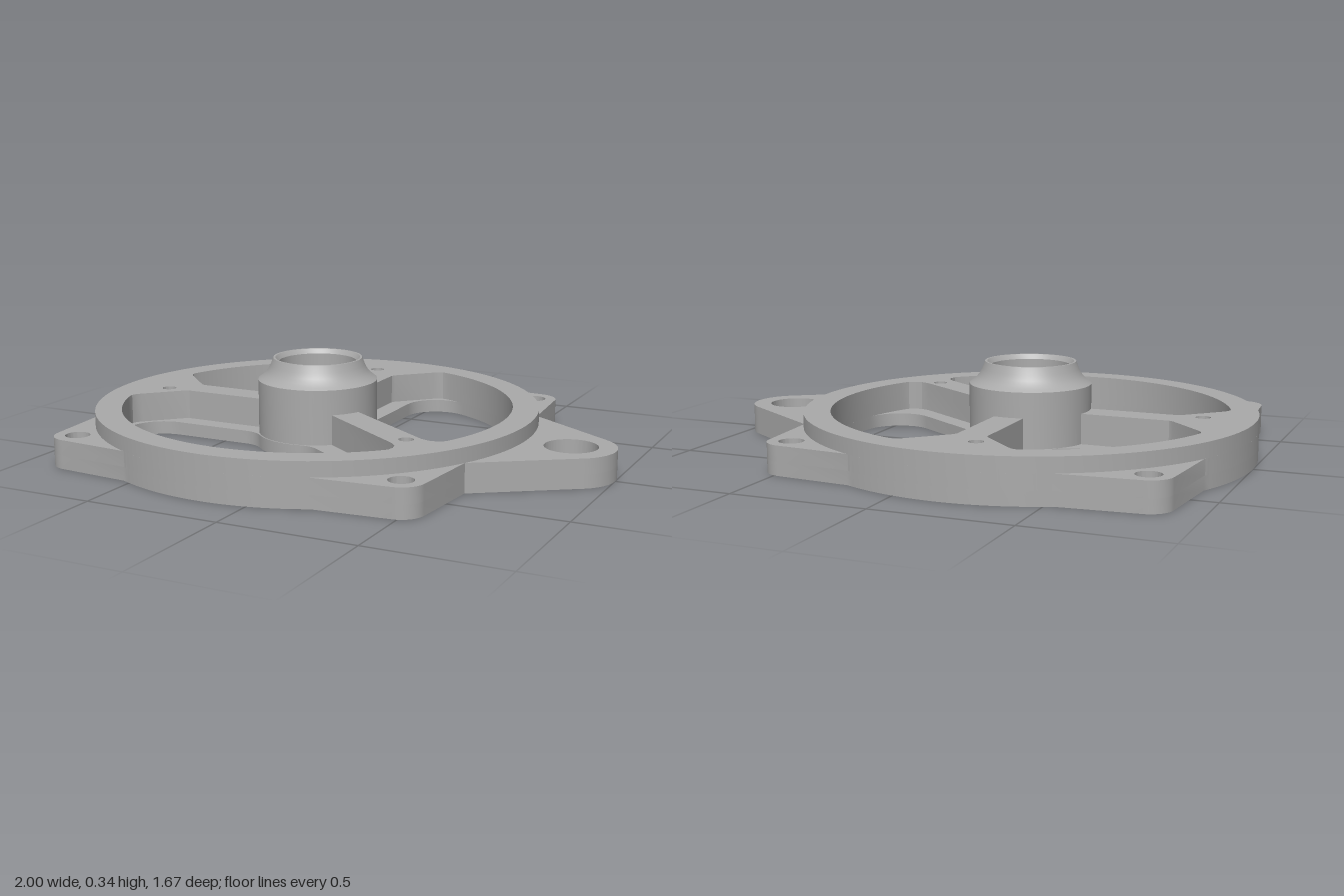
import * as THREE from 'three';
import { toCreasedNormals } from 'three/addons/utils/BufferGeometryUtils.js';

const { sin, cos, sqrt, atan2, PI } = Math;
const RAD = PI / 180;
const RING = 0.835, INNER = 0.737, HUB = 0.225, BORE = 0.147;
const PLATE_TOP = 0.05, FLANGE_TOP = 0.107, RING_TOP = 0.162;
const SPOKES = [35, 180, 270].map((a) => a * RAD);
const PINS = [34.2, 175.5, 265.1].map((a) => a * RAD);

// Points along an arc, end points included
function arc(x, y, r, a0, a1, n = 12) {
  return Array.from({ length: n + 1 }, (_, i) => {
    const a = a0 + ((a1 - a0) * i) / n;
    return new THREE.Vector2(x + r * cos(a), y + r * sin(a));
  });
}

function circle(x, y, r) {
  const path = new THREE.Path();
  path.absarc(x, y, r, 0, PI * 2, false);
  return path;
}

// Opening between two spokes, from one edge profile (distance along spoke, offset from its axis)
function windowBetween(a0, a1, edge0, edge1, innerR) {
  const place = (edge, a, side) => edge.map((p) =>
    new THREE.Vector2(p.x, p.y * side).rotateAround(new THREE.Vector2(), a));
  const first = place(edge0, a0, 1), last = place(edge1, a1, -1).reverse();
  const ang = (p) => atan2(p.y, p.x);
  const o0 = a0 + ang(edge0.at(-1)), o1 = a1 - ang(edge1.at(-1));
  const i0 = a0 + ang(edge0[0]), i1 = a1 - ang(edge1[0]);
  const pts = [...first, ...arc(0, 0, INNER, o0 + 0.02, o1 - 0.02, 48), ...last];
  if (i1 - i0 > 0.1) pts.push(...arc(0, 0, innerR, i1, i0, 16).slice(1, -1));
  return new THREE.Path(pts);
}

// Wide lower spoke edge, filleted into the hub and the ring
function lowerEdge() {
  const d = 0.13, h = 0.23, g = 0.11, f = 0.13;
  const ix = sqrt((h + g) ** 2 - (d + g) ** 2), ox = sqrt((INNER - f) ** 2 - (d + f) ** 2);
  return [
    ...arc(ix, d + g, g, atan2(d + g, ix) + PI, PI * 1.5),
    ...arc(ox, d + f, f, -PI / 2, atan2(d + f, ox)),
  ];
}

// Narrow rib edge, chamfered out to the ring
function ribEdge(isDiagonal) {
  const v = (x, y) => new THREE.Vector2(x, y);
  const flare = isDiagonal
    ? [v(0.66, 0.058), v(0.695, 0.068), v(0.715, 0.085), v(0.727, 0.11)]
    : [v(0.545, 0.056), v(0.56, 0.063), v(0.68, 0.183), v(0.694, 0.2), v(0.701, 0.22)];
  return [v(sqrt(0.22 ** 2 - 0.055 ** 2), 0.055), ...flare];
}

function windows(edgeFor, innerR) {
  return SPOKES.map((a, i) => {
    const j = (i + 1) % 3;
    return windowBetween(a, SPOKES[j] + (j === 0 ? PI * 2 : 0), edgeFor(i === 0), edgeFor(j === 0), innerR);
  });
}

// Round body with four bolt corners and one large lug on +x
function baseOutline() {
  const pts = [];
  for (let k = 0; k < 4; k++) {
    const q = k * PI / 2, s = 26 * RAD;
    if (k === 0) {
      pts.push(new THREE.Vector2(RING * cos(s), -RING * sin(s)));
      pts.push(...arc(1.003, 0, 0.162, -58 * RAD, 58 * RAD, 24));
      pts.push(new THREE.Vector2(RING * cos(s), RING * sin(s)));
    } else {
      pts.push(...arc(0, 0, RING, q - s, q + s, 24));
    }
    const m = q + PI / 4, c = 0.642 * sqrt(2);
    pts.push(...arc(c * cos(m), c * sin(m), 0.085, m - 40 * RAD, m + 40 * RAD));
  }
  return new THREE.Shape(pts);
}

// Mounting holes of the flange
function boltHoles() {
  const holes = [circle(1.003, 0, 0.096)];
  for (const x of [-0.642, 0.642]) for (const y of [-0.642, 0.642]) holes.push(circle(x, y, 0.045));
  return holes;
}

const pinHoles = () => PINS.map((a) => circle(0.643 * cos(a), 0.643 * sin(a), 0.027));

// Extrude a plan shape (y of the shape is z of the model) between two heights
function slab(name, shape, holes, bottom, top, material) {
  shape.holes.push(...holes);
  const geo = new THREE.ExtrudeGeometry(shape, { depth: top - bottom, bevelEnabled: false, curveSegments: 48 });
  geo.rotateX(PI / 2).translate(0, top, 0);
  const mesh = new THREE.Mesh(toCreasedNormals(geo, 0.4), material);
  mesh.name = name;
  return mesh;
}

export function createModel() {
  const metal = new THREE.MeshStandardMaterial({ color: 0xaaaaaa });
  metal.name = 'grey metal';
  const group = new THREE.Group();
  group.name = 'bearing cover';

  // Floor with wide spokes
  group.add(slab('basePlate', baseOutline(),
    [...windows(lowerEdge, 0.23), ...boltHoles(), ...pinHoles(), circle(0, 0, 0.22)], 0, PLATE_TOP, metal));

  // Thick mounting flange around the ring
  group.add(slab('mountingFlange', baseOutline(), [...boltHoles(), circle(0, 0, 0.8)], PLATE_TOP, FLANGE_TOP, metal));

  // Raised ring joined to three narrow ribs
  const disc = new THREE.Shape(arc(0, 0, RING, 0, PI * 2, 128).slice(0, -1));
  group.add(slab('ringAndRibs', disc,
    [...windows(ribEdge, 0.22), ...pinHoles(), circle(0, 0, 0.21)], PLATE_TOP, RING_TOP, metal));

  // Hollow hub with a concave neck
  const profile = [
    [BORE, 0], [HUB, 0], [HUB, 0.255], [0.214, 0.263], [0.2, 0.275], [0.188, 0.29],
    [0.178, 0.31], [0.168, 0.337], [0.16, 0.337], [BORE, 0.32], [BORE, 0],
  ].map(([x, y]) => new THREE.Vector2(x, y));
  const hub = new THREE.Mesh(toCreasedNormals(new THREE.LatheGeometry(profile, 64), 0.4), metal);
  hub.name = 'hub';
  group.add(hub);

  group.position.x = -0.165;
  const model = new THREE.Group();
  model.add(group);
  return model;
}
